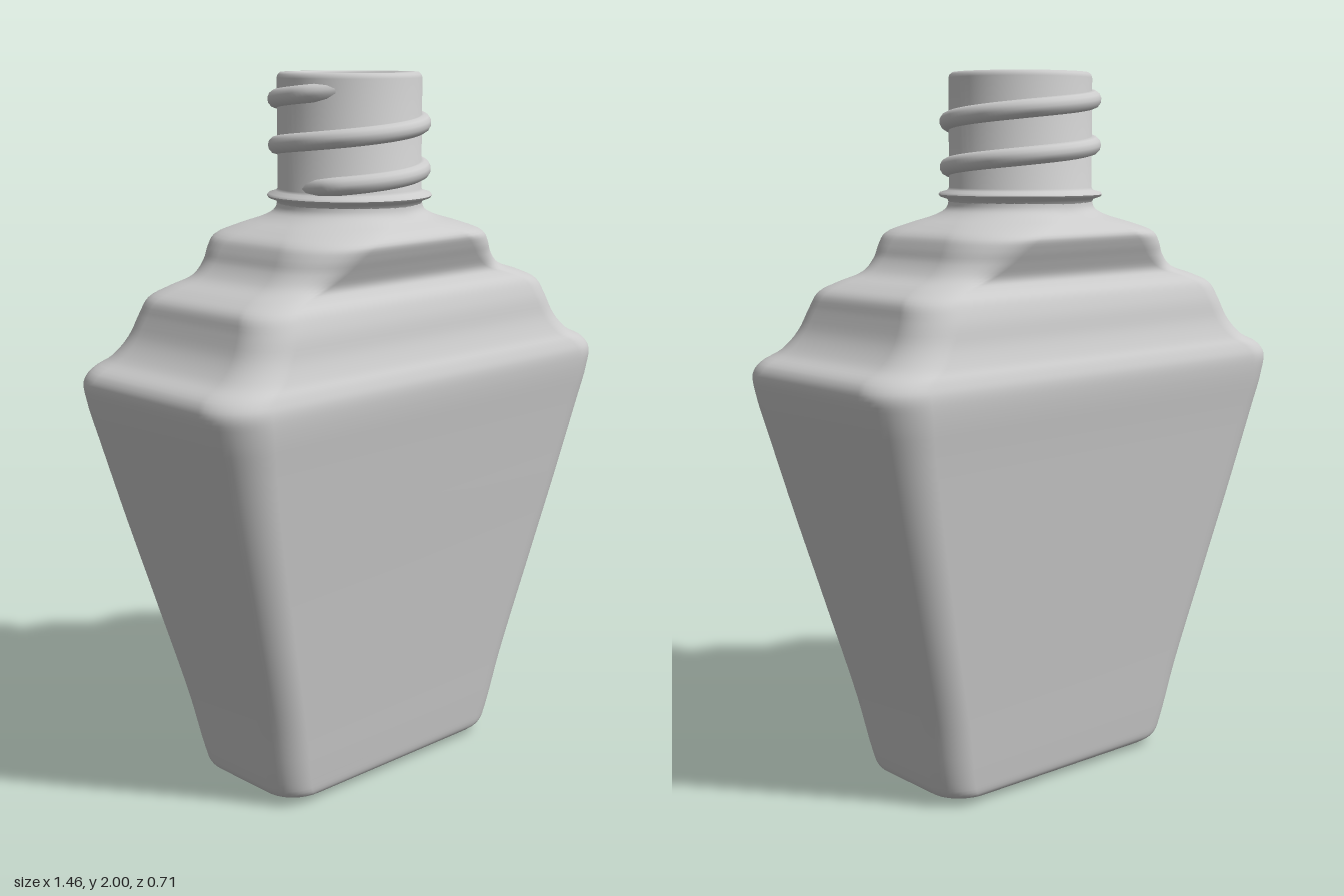
import * as THREE from 'three';
import { toCreasedNormals } from 'three/addons/utils/BufferGeometryUtils.js';

const material = new THREE.MeshStandardMaterial({ color: 0xcccccc });
const CORNER = 10; // segments per rounded corner

// One rounded-rectangle ring: half width, height, half depth, corner radius
function ring([hx, y, hz, r]) {
  const pts = [];
  r = Math.min(r, hx, hz);
  for (let q = 0; q < 4; q++) {
    const sx = q === 0 || q === 3 ? 1 : -1;
    const sz = q < 2 ? 1 : -1;
    for (let i = 0; i <= CORNER; i++) {
      const a = (q + i / CORNER) * Math.PI / 2;
      pts.push(sx * (hx - r) + r * Math.cos(a), y, sz * (hz - r) + r * Math.sin(a));
    }
  }
  return pts;
}

// Skin a list of sections; upward lists face out, downward lists face in
function loft(sections) {
  const n = 4 * (CORNER + 1);
  const pos = sections.flatMap(ring);
  const index = [];
  for (let i = 0; i < sections.length - 1; i++) {
    for (let j = 0; j < n; j++) {
      const a = i * n + j, b = i * n + (j + 1) % n;
      index.push(a, a + n, b, b, a + n, b + n);
    }
  }
  const g = new THREE.BufferGeometry();
  g.setAttribute('position', new THREE.Float32BufferAttribute(pos, 3));
  g.setIndex(index);
  g.computeVertexNormals();
  return g;
}

// Smooth curve through the sections
function refine(sections, steps) {
  const path = new THREE.CatmullRomCurve3(
    sections.map(s => new THREE.Vector3(s[0], s[1], s[2])), false, 'centripetal');
  const out = [];
  const last = sections.length - 1;
  for (let k = 0; k <= last * steps; k++) {
    const i = Math.min(Math.floor(k / steps), last - 1), f = k / steps - i;
    const p = path.getPoint(k / (last * steps));
    out.push([p.x, p.y, p.z, THREE.MathUtils.lerp(sections[i][3], sections[i + 1][3], f)]);
  }
  return out;
}

export function createModel() {
  const group = new THREE.Group();
  const add = (name, geometry) => {
    const mesh = new THREE.Mesh(geometry, material);
    mesh.name = name;
    group.add(mesh);
  };

  // Flared body with stepped shoulders: [half width, y, half depth, corner radius]
  const profile = [
    [0.20, 0.00, 0.12, 0.08],
    [0.39, 0.018, 0.185, 0.09],
    [0.42, 0.035, 0.20, 0.09],
    [0.436, 0.08, 0.208, 0.09],
    [0.475, 0.25, 0.23, 0.095],
    [0.55, 0.52, 0.266, 0.10],
    [0.63, 0.80, 0.305, 0.11],
    [0.69, 1.02, 0.336, 0.12],
    [0.722, 1.14, 0.354, 0.13],
    [0.728, 1.19, 0.355, 0.13],
    [0.71, 1.22, 0.345, 0.13],
    [0.65, 1.25, 0.328, 0.12],
    [0.60, 1.30, 0.310, 0.11],
    [0.57, 1.36, 0.299, 0.11],
    [0.55, 1.405, 0.282, 0.11],
    [0.50, 1.432, 0.258, 0.11],
    [0.43, 1.458, 0.246, 0.12],
    [0.39, 1.495, 0.260, 0.14],
    [0.372, 1.53, 0.276, 0.16],
    [0.352, 1.56, 0.285, 0.18],
    [0.30, 1.585, 0.258, 0.19],
    [0.235, 1.61, 0.218, 0.20],
    [0.207, 1.63, 0.204, 0.20],
    [0.20, 1.66, 0.20, 0.20],
  ];
  add('body', loft([[0, 0, 0, 0], ...refine(profile, 4)]));

  // Inner cavity under the bore, with a dished floor
  add('cavity', loft([
    [0.14, 1.60, 0.14, 0.14],
    [0.29, 1.53, 0.22, 0.15],
    [0.33, 1.46, 0.19, 0.12],
    [0.50, 1.37, 0.24, 0.10],
    [0.66, 1.18, 0.30, 0.10],
    [0.63, 1.02, 0.28, 0.10],
    [0.38, 0.15, 0.16, 0.08],
    [0.32, 0.09, 0.12, 0.07],
    [0.16, 0.06, 0.06, 0.05],
    [0, 0.05, 0, 0],
  ]));

  // Neck: collar ring, outer wall, rounded rim and bore
  const neck = [
    [0.20, 1.64], [0.205, 1.653], [0.226, 1.660], [0.23, 1.666], [0.226, 1.672],
    [0.205, 1.678], [0.20, 1.685], [0.20, 1.985], [0.197, 1.994], [0.19, 2.0],
    [0.146, 2.0], [0.14, 1.994], [0.14, 1.60],
  ].map(([x, y]) => new THREE.Vector2(x, y));
  add('neck', toCreasedNormals(new THREE.LatheGeometry(neck, 64), 0.9));

  // Screw thread: rising helix whose ends sink into the neck wall
  const turns = 2.12, pitch = 0.125, count = 100;
  const helix = [];
  for (let i = 0; i <= count; i++) {
    const t = i / count;
    const a = t * turns * Math.PI * 2;
    const ends = Math.min(1, t / 0.05, (1 - t) / 0.05);
    const r = 0.172 + 0.029 * THREE.MathUtils.smoothstep(ends, 0, 1);
    helix.push(new THREE.Vector3(-r * Math.cos(a), 1.692 + pitch * turns * t, r * Math.sin(a)));
  }
  add('thread', new THREE.TubeGeometry(new THREE.CatmullRomCurve3(helix), 200, 0.025, 12));

  return group;
}
